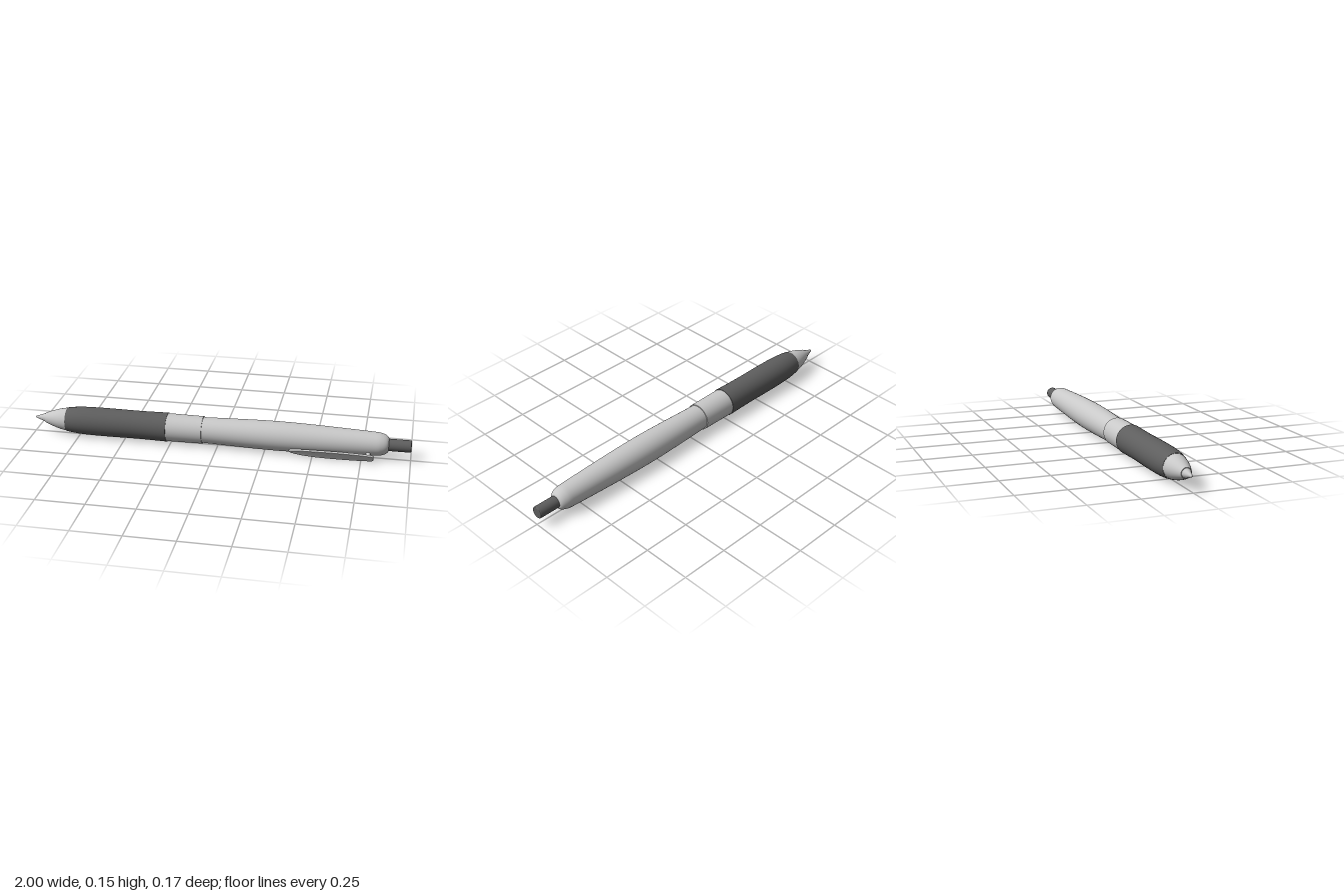
import * as THREE from 'three';

const AXIS_Y = 0.08, AXIS_Z = -0.007;

// Smooth profile along the pen: pairs of [x, radius] become a turned part
function turned(name, pairs, material, smooth = true) {
  let pts = pairs.map(([x, r]) => new THREE.Vector2(r, x));
  if (smooth) pts = new THREE.SplineCurve(pts).getPoints(24);
  pts.forEach((p) => { p.x = Math.max(p.x, 0); });
  const geo = new THREE.LatheGeometry(pts, 48);
  geo.rotateZ(-Math.PI / 2);
  const mesh = new THREE.Mesh(geo, material);
  mesh.name = name;
  return mesh;
}

export function createModel() {
  const light = new THREE.MeshStandardMaterial({ color: 0xc8c8c8, side: THREE.DoubleSide });
  light.name = 'light grey plastic';
  const dark = new THREE.MeshStandardMaterial({ color: 0x5e5e5e, side: THREE.DoubleSide });
  dark.name = 'dark grey rubber';

  const model = new THREE.Group();
  model.name = 'pen';
  const pen = new THREE.Group();
  pen.name = 'penBody';
  pen.position.set(0, AXIS_Y, AXIS_Z);
  model.add(pen);

  // Writing end
  pen.add(turned('nib', [[-1, 0], [-0.995, 0.005], [-0.94, 0.024]], light, false));
  pen.add(turned('tipCone', [[-0.94, 0.027], [-0.9, 0.042], [-0.86, 0.054], [-0.82, 0.062]], light));
  pen.add(turned('tipShoulder', [[-0.94, 0.02], [-0.94, 0.027]], light, false));

  // Rubber grip with its end face
  pen.add(turned('grip', [[-0.82, 0.063], [-0.77, 0.07], [-0.7, 0.074], [-0.58, 0.075],
    [-0.42, 0.074], [-0.27, 0.0765]], dark));
  pen.add(turned('gripEnd', [[-0.27, 0.0765], [-0.27, 0.065]], dark, false));

  // Middle collar, stepping down to the barrel
  pen.add(turned('collar', [[-0.27, 0.0735], [-0.08, 0.072]], light, false));
  pen.add(turned('collarEnd', [[-0.08, 0.072], [-0.08, 0.06]], light, false));

  // Barrel with rounded shoulder
  pen.add(turned('barrel', [[-0.08, 0.067], [0.08, 0.072], [0.28, 0.0765], [0.45, 0.0745],
    [0.62, 0.069], [0.8, 0.062], [0.845, 0.058], [0.872, 0.048], [0.884, 0.036], [0.886, 0.025]], light));

  // Push button
  pen.add(turned('button', [[0.87, 0.0315], [0.992, 0.0315]], dark, false));
  pen.add(turned('buttonRim', [[0.992, 0.0315], [0.998, 0.03], [1, 0.026]], dark));
  pen.add(turned('buttonFace', [[1, 0.026], [1, 0]], dark, false));

  // Clip: leaf-shaped plate on a short post, turned down toward the front
  const clip = new THREE.Group();
  clip.name = 'clip';
  clip.rotation.x = THREE.MathUtils.degToRad(34);
  pen.add(clip);

  const leaf = new THREE.Shape();
  leaf.moveTo(0.382, 0);
  leaf.bezierCurveTo(0.4, 0.022, 0.52, 0.028, 0.62, 0.028);
  leaf.bezierCurveTo(0.7, 0.028, 0.76, 0.025, 0.8, 0.02);
  leaf.quadraticCurveTo(0.812, 0.018, 0.812, 0.01);
  leaf.lineTo(0.812, -0.01);
  leaf.quadraticCurveTo(0.812, -0.018, 0.8, -0.02);
  leaf.bezierCurveTo(0.76, -0.025, 0.7, -0.028, 0.62, -0.028);
  leaf.bezierCurveTo(0.52, -0.028, 0.4, -0.022, 0.382, 0);
  const plateGeo = new THREE.ExtrudeGeometry(leaf, {
    depth: 0.008, bevelEnabled: true, bevelThickness: 0.002, bevelSize: 0.002,
    bevelSegments: 2, curveSegments: 16,
  });
  // Ease the free end slightly toward the barrel
  const pos = plateGeo.attributes.position;
  for (let i = 0; i < pos.count; i++) {
    const t = Math.max(0, (0.55 - pos.getX(i)) / 0.17);
    pos.setZ(i, pos.getZ(i) + 0.084 - 0.006 * t * t);
  }
  plateGeo.computeVertexNormals();
  const plate = new THREE.Mesh(plateGeo, light);
  plate.name = 'clipPlate';
  clip.add(plate);

  const post = new THREE.Mesh(new THREE.CylinderGeometry(0.012, 0.012, 0.04, 24), light);
  post.name = 'clipPost';
  post.rotation.x = Math.PI / 2;
  post.position.set(0.785, 0, 0.067);
  clip.add(post);

  return model;
}
